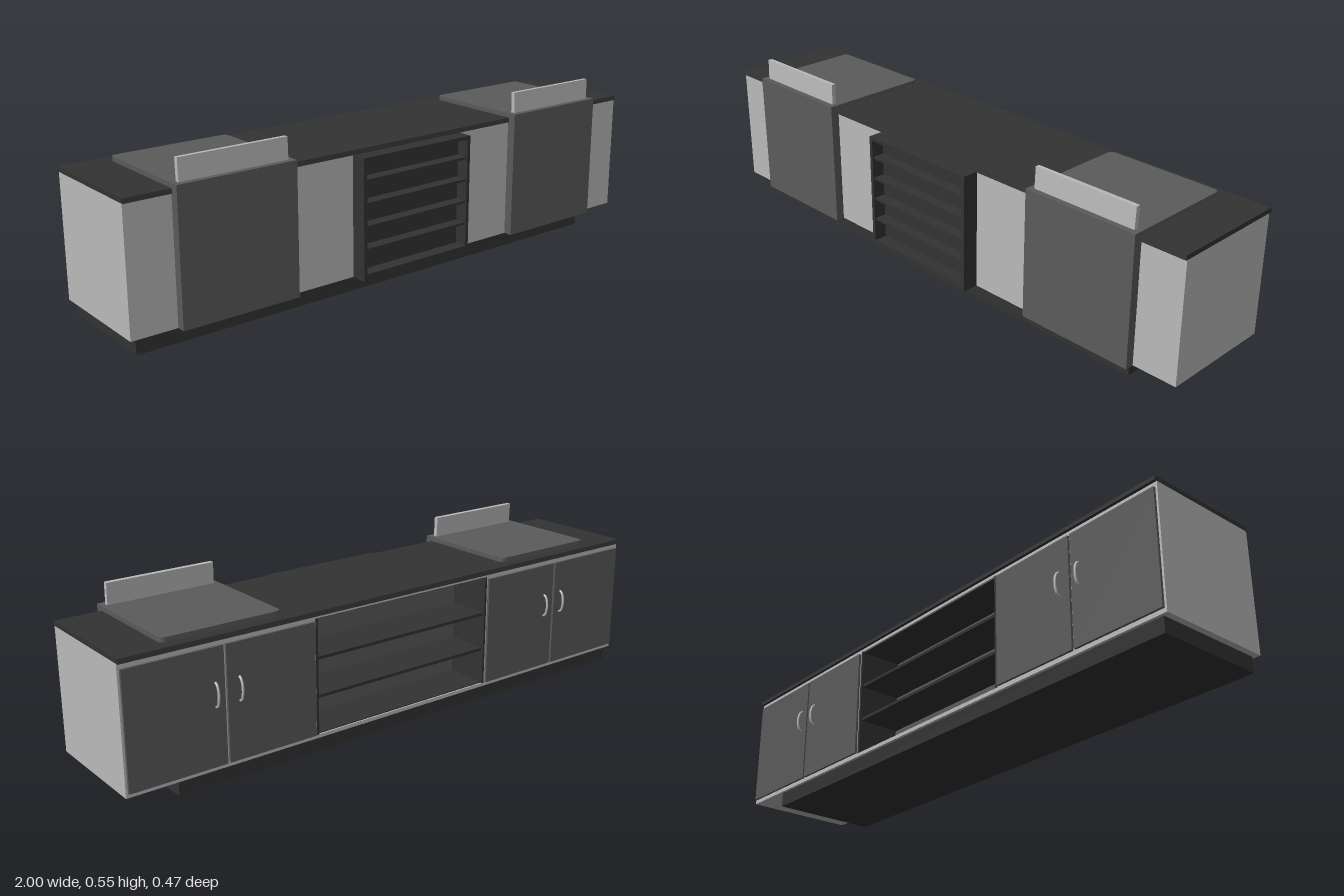
import * as THREE from 'three';

const flat = (name, color) => {
  const m = new THREE.MeshStandardMaterial({ color });
  m.name = name;
  return m;
};

export function createModel() {
  const light = flat('light grey', 0xbbbbbb);
  const grey = flat('mid grey', 0x5b5b5b);
  const dark = flat('charcoal', 0x333333);
  const root = new THREE.Group();
  root.name = 'serviceCounter';

  const add = (name, geo, mat, parent = root) => {
    const mesh = new THREE.Mesh(geo, mat);
    mesh.name = name;
    parent.add(mesh);
    return mesh;
  };
  // Box given by its minimum and maximum on each axis
  const box = (name, mat, x0, x1, y0, y1, z0, z1, parent = root) => {
    const geo = new THREE.BoxGeometry(x1 - x0, y1 - y0, z1 - z0);
    geo.translate((x0 + x1) / 2, (y0 + y1) / 2, (z0 + z1) / 2);
    return add(name, geo, mat, parent);
  };

  // Plinth, shorter at the left end
  box('plinth', dark, -0.98, 0.83, 0, 0.05, -0.2, 0.17);

  // Carcass: two cupboards joined by a bay open to the back
  for (const s of [-1, 1]) {
    box('cupboard', light, s < 0 ? -1 : 0.35, s < 0 ? -0.35 : 1, 0.05, 0.45, -0.21, 0.18);
  }
  box('bayFront', light, -0.35, 0.35, 0.05, 0.45, -0.056, 0.18);
  box('bayFloor', light, -0.35, 0.35, 0.05, 0.062, -0.21, -0.056);
  box('bayCeiling', light, -0.35, 0.35, 0.44, 0.45, -0.21, -0.056);

  // Lining and shelves of the open bay
  box('bayBackPanel', grey, -0.345, 0.345, 0.064, 0.438, -0.06, -0.055);
  for (const s of [-1, 1]) {
    box('bayWall', dark, s * 0.347 - 0.004, s * 0.347 + 0.004, 0.062, 0.44, -0.212, -0.056);
  }
  box('bayLining', dark, -0.343, 0.343, 0.062, 0.065, -0.205, -0.06);
  box('bayLining', dark, -0.343, 0.343, 0.437, 0.44, -0.205, -0.06);
  for (const y of [0.185, 0.31]) {
    box('bayShelf', dark, -0.343, 0.343, y - 0.005, y + 0.005, -0.205, -0.06);
  }

  // Countertop with slanted long edges
  const top = new THREE.BoxGeometry(2, 0.015, 0.405);
  const p = top.attributes.position;
  for (let i = 0; i < p.count; i++) {
    if (p.getY(i) > 0) p.setZ(i, p.getZ(i) - Math.sign(p.getZ(i)) * 0.003);
  }
  top.computeVertexNormals();
  top.translate(0, 0.4575, -0.0175);
  add('countertop', top, dark);

  // Doors with arched handles, a pair on each cupboard
  const arc = new THREE.CatmullRomCurve3([
    [0.25, -0.217], [0.255, -0.226], [0.27, -0.232], [0.288, -0.234],
    [0.305, -0.232], [0.32, -0.226], [0.326, -0.217],
  ].map(([y, z]) => new THREE.Vector3(0, y, z)));
  const handleGeo = new THREE.TubeGeometry(arc, 18, 0.004, 8);
  for (const s of [-1, 1]) {
    for (const [x0, x1, hx] of [[0.357, 0.666, 0.625], [0.674, 0.993, 0.705]]) {
      box('door', grey, s < 0 ? -x1 : x0, s < 0 ? -x0 : x1, 0.064, 0.433, -0.218, -0.209);
      add('doorHandle', handleGeo, light).position.x = s * hx;
    }
  }

  // Two serving stations: front panel, round-cornered top and upright guard
  const w = 0.2, back = 0.18, r = 0.02;
  const plate = new THREE.Shape();
  plate.moveTo(-w, -0.21);
  plate.lineTo(w, -0.21);
  plate.lineTo(w, back - r);
  plate.quadraticCurveTo(w, back, w - r, back);
  plate.lineTo(r - w, back);
  plate.quadraticCurveTo(-w, back, -w, back - r);
  plate.closePath();
  const plateGeo = new THREE.ExtrudeGeometry(plate, { depth: 0.019, bevelEnabled: false, curveSegments: 6 });
  plateGeo.rotateX(-Math.PI / 2).translate(0, 0.461, 0);
  for (const x of [-0.65, 0.65]) {
    const station = new THREE.Group();
    station.name = 'servingStation';
    station.position.x = x;
    root.add(station);
    box('stationFront', grey, -w, w, 0.05, 0.461, 0.178, 0.21, station);
    add('stationTop', plateGeo, grey, station);
    const guard = add('guard', new THREE.BoxGeometry(0.365, 0.072, 0.015), light, station);
    guard.position.set(0, 0.514, 0.182);
    guard.rotation.x = -0.04;
  }

  // Slim display rack on the front
  const rack = new THREE.Group();
  rack.name = 'displayRack';
  root.add(rack);
  box('rackBack', dark, -0.215, 0.215, 0.052, 0.448, 0.178, 0.19, rack);
  for (const s of [-1, 1]) {
    box('rackSide', dark, s * 0.215 - 0.006, s * 0.215 + 0.006, 0.05, 0.45, 0.18, 0.235, rack);
  }
  box('rackTop', dark, -0.209, 0.209, 0.438, 0.45, 0.18, 0.235, rack);
  box('rackBase', dark, -0.209, 0.209, 0.05, 0.072, 0.18, 0.235, rack);
  for (let i = 0; i < 4; i++) {
    const y = 0.15 + i * 0.075;
    box('rackShelf', dark, -0.209, 0.209, y - 0.004, y + 0.004, 0.19, 0.23, rack);
  }
  return root;
}
